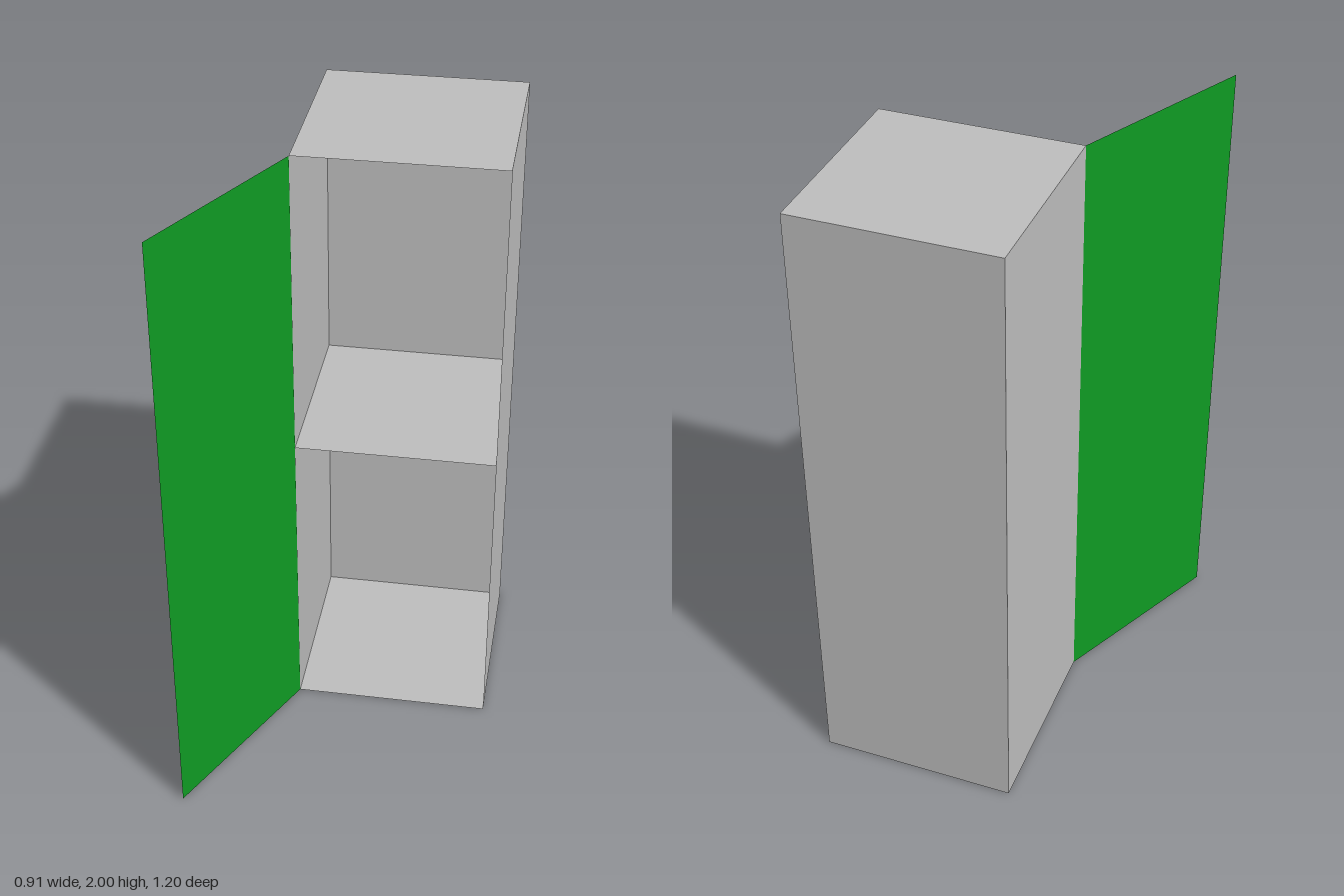
import * as THREE from 'three';

export function createModel() {
  const group = new THREE.Group();
  const grey = new THREE.MeshStandardMaterial({ color: 0xbebebe, side: THREE.DoubleSide });
  grey.name = 'grey metal';
  const green = new THREE.MeshStandardMaterial({ color: 0x0f9a23, side: THREE.DoubleSide });
  green.name = 'green door';

  // Thin sheet panel, optionally turned about x or y
  const panel = (name, w, h, material, x, y, z, rx = 0, ry = 0) => {
    const mesh = new THREE.Mesh(new THREE.PlaneGeometry(w, h), material);
    mesh.name = name;
    mesh.position.set(x, y, z);
    mesh.rotation.set(rx, ry, 0);
    group.add(mesh);
  };

  const left = 0.453, right = -0.177, front = 0.03, back = -0.6, height = 2;
  const width = left - right, depth = front - back;
  const cx = (left + right) / 2, cz = (front + back) / 2;
  const quarter = Math.PI / 2;

  // Open-fronted cabinet
  panel('backPanel', width, height, grey, cx, height / 2, back, 0, Math.PI);
  panel('leftSide', depth, height, grey, left, height / 2, cz, 0, quarter);
  panel('rightSide', depth, height, grey, right, height / 2, cz, 0, -quarter);
  panel('topPanel', width, depth, grey, cx, height, cz, -quarter);
  panel('bottomPanel', width, depth, grey, cx, 0, cz, quarter);
  panel('shelf', width, depth, grey, cx, 1.005, cz, -quarter);

  // Door swung open on the right front edge
  const endX = -0.453, endZ = 0.6;
  const dx = right - endX, dz = front - endZ;
  panel('door', Math.hypot(dx, dz), height, green,
    (right + endX) / 2, height / 2, (front + endZ) / 2, 0, Math.atan2(-dz, dx));

  return group;
}
